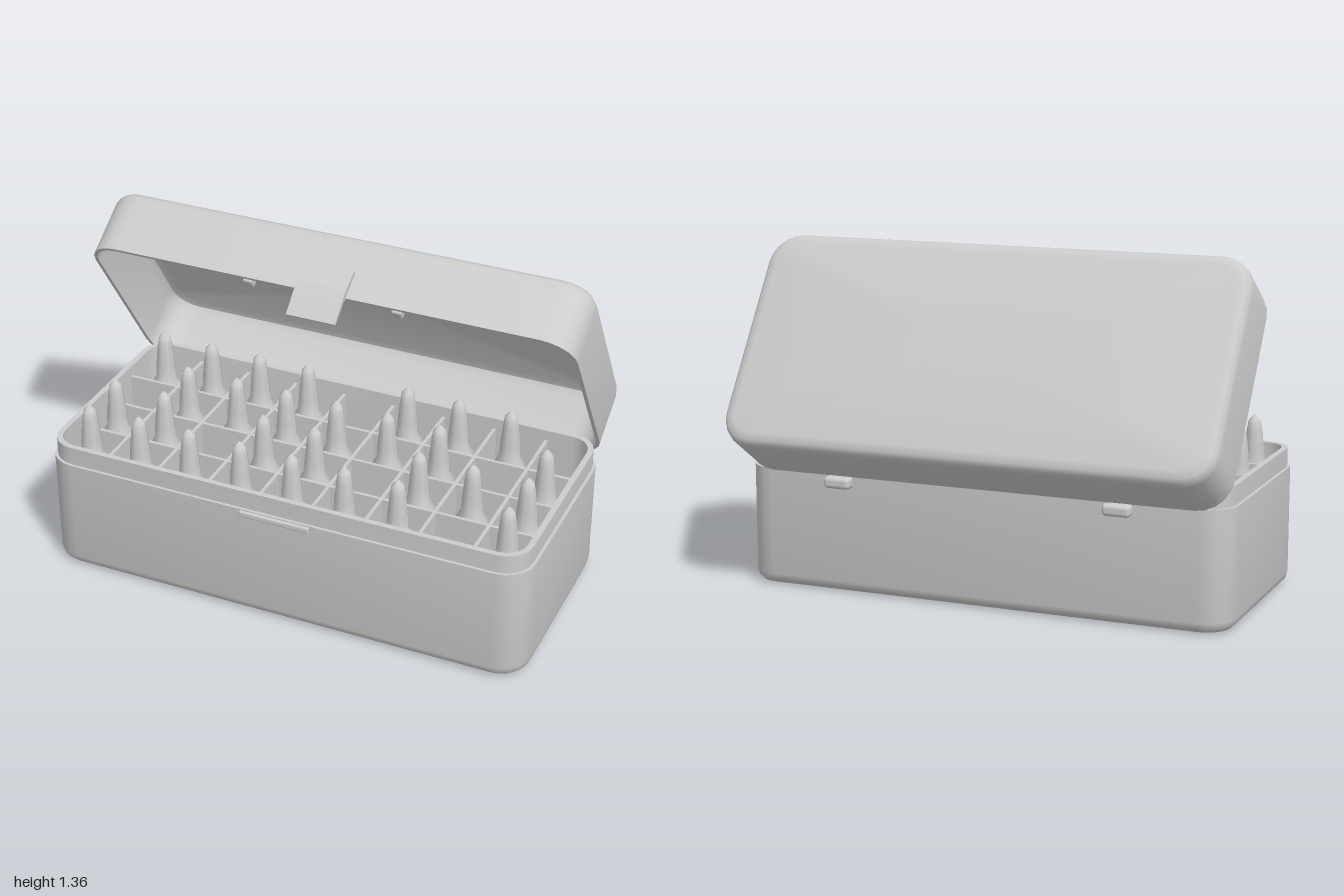
import * as THREE from 'three';
import { toCreasedNormals } from 'three/addons/utils/BufferGeometryUtils.js';
import { RoundedBoxGeometry } from 'three/addons/geometries/RoundedBoxGeometry.js';

const lightGrey = new THREE.MeshStandardMaterial({ color: 0xcccccc });
lightGrey.name = 'lightGrey';

function add(parent, name, geometry, x = 0, y = 0, z = 0) {
  const mesh = new THREE.Mesh(geometry, lightGrey);
  mesh.name = name;
  mesh.position.set(x, y, z);
  parent.add(mesh);
  return mesh;
}

// Skins rounded-rectangle rings; each section is [inset, y], a null inset closes to the centre
function shell(hx, hz, radius, sections) {
  const steps = 5;
  const corners = [[1, 1], [-1, 1], [-1, -1], [1, -1]];
  const n = corners.length * (steps + 1);
  const rings = sections.map(([inset, y]) => {
    const ring = [];
    corners.forEach(([sx, sz], q) => {
      for (let i = 0; i <= steps; i++) {
        if (inset === null) { ring.push([0, y, 0]); continue; }
        const r = Math.max(radius - inset, 0.03);
        const a = (q + i / steps) * Math.PI / 2;
        ring.push([
          sx * (hx - inset - r) + r * Math.cos(a), y,
          sz * (hz - inset - r) + r * Math.sin(a),
        ]);
      }
    });
    return ring;
  });
  const pos = [];
  for (let s = 0; s < rings.length - 1; s++) {
    for (let j = 0; j < n; j++) {
      const k = (j + 1) % n;
      const a = rings[s][j], b = rings[s][k], c = rings[s + 1][j], d = rings[s + 1][k];
      if (sections[s][0] !== null) pos.push(...a, ...c, ...b);
      if (sections[s + 1][0] !== null) pos.push(...b, ...c, ...d);
    }
  }
  const g = new THREE.BufferGeometry();
  g.setAttribute('position', new THREE.Float32BufferAttribute(pos, 3));
  return toCreasedNormals(g, 0.7);
}

// Extrudes a (z, y) outline along x, centred on x = 0
function alongX(points, width) {
  const shape = new THREE.Shape(points.map(([z, y]) => new THREE.Vector2(-z, y)));
  const g = new THREE.ExtrudeGeometry(shape, { depth: width, bevelEnabled: false });
  return g.translate(0, 0, -width / 2).rotateY(Math.PI / 2);
}

export function createModel() {
  const model = new THREE.Group();
  model.name = 'cartridgeBox';
  const midZ = 0.1025;
  const floor = 0.12;

  // Lower box with its raised inner rim and hollow inside
  add(model, 'base', shell(1, 0.46, 0.12, [
    [null, 0], [0.045, 0], [0.022, 0.006], [0.006, 0.022], [0, 0.045],
    [0, 0.475], [0.012, 0.475], [0.012, 0.55], [0.035, 0.55], [0.035, floor], [null, floor],
  ]), 0, 0, midZ);

  // Compartment dividers
  const columns = Array.from({ length: 9 }, (_, i) => -0.861 + i * 0.2177);
  const rows = [0.425, 0.216, 0.007, -0.202];
  const top = 0.505, h = top - floor;
  const dividers = new THREE.Group();
  dividers.name = 'dividers';
  model.add(dividers);
  for (let i = 0; i < 8; i++) {
    add(dividers, 'crossDivider', new THREE.BoxGeometry(0.014, h, 0.85), columns[i] + 0.109, floor + h / 2, midZ);
  }
  for (let i = 0; i < 3; i++) {
    add(dividers, 'longDivider', new THREE.BoxGeometry(1.93, h, 0.014), 0, floor + h / 2, rows[i] - 0.1045);
  }

  // Cartridges, with a few compartments left empty
  const profile = [
    [0, 0], [0.07, 0], [0.07, 0.3], [0.044, 0.355], [0.041, 0.41],
    [0.037, 0.45], [0.032, 0.5], [0.026, 0.535], [0.012, 0.553], [0, 0.564],
  ].map(([r, y]) => new THREE.Vector2(r, y));
  const cartridge = toCreasedNormals(new THREE.LatheGeometry(profile, 8).toNonIndexed(), 0.85);
  const empty = [[7], [2, 5], [0, 7], [4, 8]];
  const cartridges = new THREE.Group();
  cartridges.name = 'cartridges';
  model.add(cartridges);
  rows.forEach((z, r) => columns.forEach((x, c) => {
    if (!empty[r].includes(c)) add(cartridges, 'cartridge', cartridge, x, floor, z);
  }));

  // Catch on the front and hinge lugs on the back
  add(model, 'catch', new RoundedBoxGeometry(0.29, 0.024, 0.03, 2, 0.006), 0, 0.459, 0.56);
  for (const side of [-1, 1]) {
    add(model, 'hingeLug', new RoundedBoxGeometry(0.11, 0.046, 0.06, 3, 0.016), side * 0.575, 0.448, -0.37);
  }

  // Lid, tilted open about the back edge
  const lid = new THREE.Group();
  lid.name = 'lid';
  lid.position.set(0, 0.47, -0.36);
  lid.rotation.x = -0.983;
  model.add(lid);
  add(lid, 'lidShell', shell(0.998, 0.457, 0.13, [
    [null, 0.25], [0.06, 0.25], [0.03, 0.24], [0.015, 0.21], [0.015, 0],
    [0, 0], [0, 0.225], [0.005, 0.247], [0.02, 0.264], [0.05, 0.27], [null, 0.27],
  ]), 0, 0, 0.457);

  // Clasp flap and the small nubs inside the front lip
  add(lid, 'clasp', alongX([
    [0.9, 0.11], [0.93, 0.108], [0.937, 0.02], [0.93, -0.03],
    [0.915, -0.115], [0.907, -0.115], [0.915, -0.02], [0.9, 0.02],
  ], 0.2), 0.008, 0, 0);
  for (const x of [-0.3, 0.31]) {
    add(lid, 'lidNub', new RoundedBoxGeometry(0.04, 0.035, 0.045, 2, 0.008), x, 0.008, 0.878);
  }
  return model;
}
